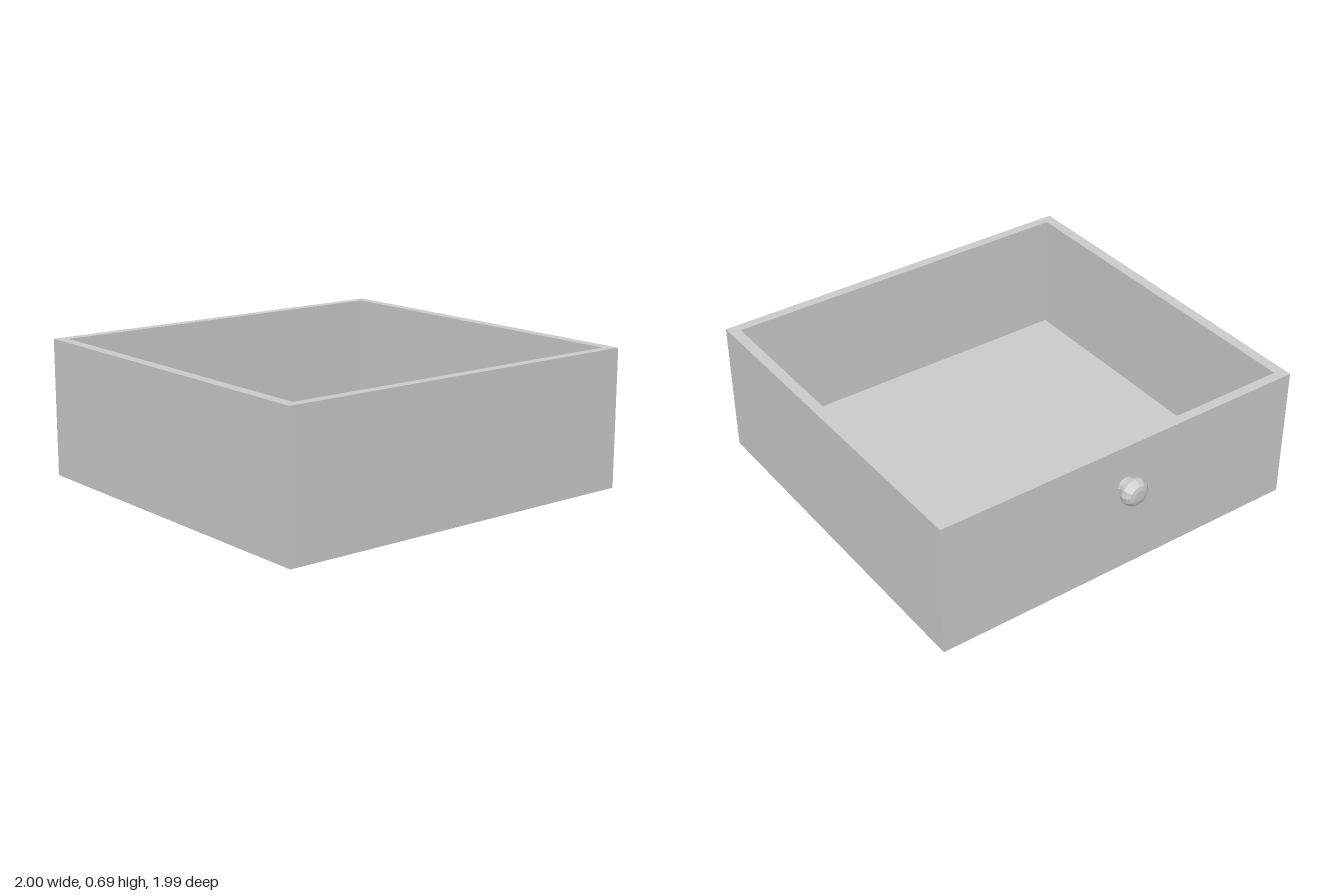
import * as THREE from 'three';

const material = new THREE.MeshStandardMaterial({ color: 0xcccccc, flatShading: true });

function part(name, geometry, x = 0, y = 0, z = 0) {
  const mesh = new THREE.Mesh(geometry, material);
  mesh.name = name;
  mesh.position.set(x, y, z);
  return mesh;
}

// Corner points of a centred rectangle
function rectangle(width, depth) {
  const w = width / 2, d = depth / 2;
  return [[-w, -d], [w, -d], [w, d], [-w, d]].map(([x, y]) => new THREE.Vector2(x, y));
}

export function createModel() {
  const model = new THREE.Group();
  model.name = 'drawer';

  const width = 1.9, depth = 1.985, height = 0.695;
  const innerWidth = width - 0.1, innerDepth = depth - 0.11, floorHeight = 0.065;
  const centreX = 0.05;

  // Four walls as one rectangular frame
  const frame = new THREE.Shape(rectangle(width, depth));
  frame.holes.push(new THREE.Path(rectangle(innerWidth, innerDepth).reverse()));
  const walls = new THREE.ExtrudeGeometry(frame, { depth: height, bevelEnabled: false });
  walls.rotateX(-Math.PI / 2);
  model.add(part('walls', walls, centreX));

  // Floor fitted between the walls
  const floor = new THREE.BoxGeometry(innerWidth, floorHeight, innerDepth);
  model.add(part('floor', floor, centreX, floorHeight / 2));

  // Turned knob: narrow stem, rounded head
  const profile = [
    [0.048, 0], [0.04, 0.006], [0.04, 0.024], [0.05, 0.03],
    [0.068, 0.04], [0.072, 0.058], [0.066, 0.078], [0.05, 0.093],
    [0.028, 0.099], [0, 0.1],
  ].map(([r, h]) => new THREE.Vector2(r, h));
  const knob = new THREE.LatheGeometry(profile, 12);
  knob.rotateZ(Math.PI / 2);
  model.add(part('knob', knob, -0.9, 0.475, 0.01));

  return model;
}
